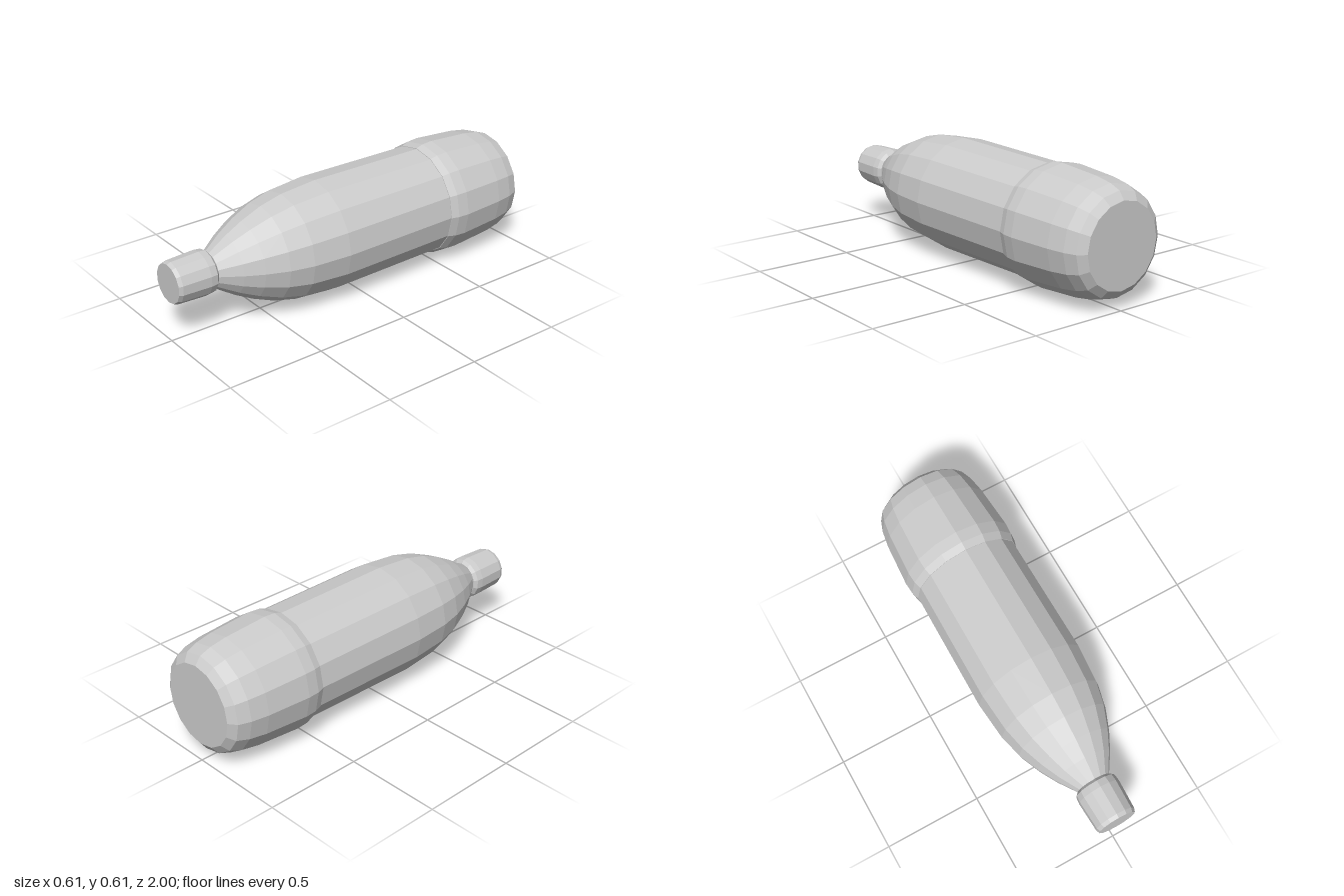
import * as THREE from 'three';

const AXIS_Y = 0.303;

// Faceted turned part lying along z; profile is [radius, z] from back to front
function turned(name, profile, sides, material, y = AXIS_Y) {
  const points = profile.map(([r, z]) => new THREE.Vector2(r, z));
  const geometry = new THREE.LatheGeometry(points, sides);
  geometry.rotateX(Math.PI / 2);
  const mesh = new THREE.Mesh(geometry, material);
  mesh.name = name;
  mesh.position.y = y;
  return mesh;
}

export function createModel() {
  const group = new THREE.Group();
  group.name = 'bottle';
  const material = new THREE.MeshStandardMaterial({ color: 0xcccccc, flatShading: true });

  // Long barrel tapering through a rounded shoulder to the neck
  group.add(turned('body', [
    [0, -0.5], [0.284, -0.5], [0.291, 0.16], [0.274, 0.36], [0.245, 0.48],
    [0.2, 0.59], [0.152, 0.68], [0.086, 0.78], [0.08, 0.8],
  ], 16, material));

  // Wider bottom section with a small lip and a chamfered flat end
  group.add(turned('base', [
    [0, -1], [0.21, -1], [0.25, -0.97], [0.272, -0.91], [0.287, -0.82],
    [0.303, -0.59], [0.299, -0.53], [0.287, -0.49], [0.27, -0.49],
  ], 16, material));

  // Screw cap on the neck
  group.add(turned('cap', [
    [0, 0.78], [0.092, 0.78], [0.108, 0.795], [0.112, 0.83],
    [0.106, 0.98], [0.099, 1], [0, 1],
  ], 14, material, 0.306));

  return group;
}
